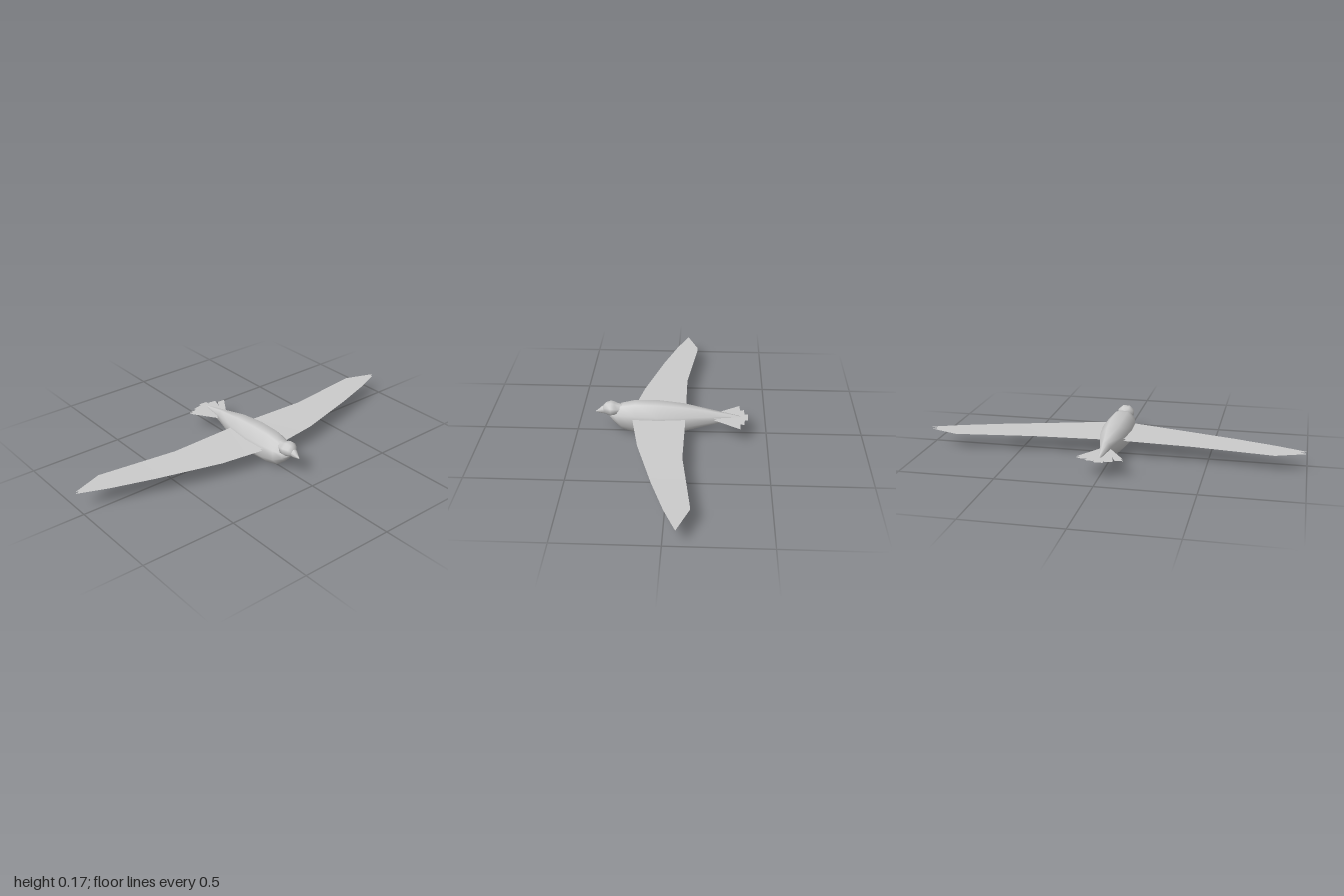
import * as THREE from 'three';

const solid = new THREE.MeshStandardMaterial({ color: 0xcccccc });
const thin = new THREE.MeshStandardMaterial({ color: 0xcccccc, side: THREE.DoubleSide });
const SIDES = 8;

function build(name, positions, index, material) {
  const g = new THREE.BufferGeometry();
  g.setAttribute('position', new THREE.Float32BufferAttribute(positions, 3));
  g.setIndex(index);
  g.computeVertexNormals();
  const mesh = new THREE.Mesh(g, material);
  mesh.name = name;
  return mesh;
}

// Smooth eight-sided loft; stations are [z, bottom y, top y, half width] from back to front
function loft(name, stations) {
  const pos = [], index = [];
  const k = 1 / Math.cos(Math.PI / SIDES);
  stations.forEach(([z, y0, y1, w], s) => {
    for (let i = 0; i < SIDES; i++) {
      const a = ((i + 0.5) / SIDES) * Math.PI * 2;
      pos.push(Math.cos(a) * w * k, (y0 + y1) / 2 + Math.sin(a) * k * (y1 - y0) / 2, z);
      if (s === 0) continue;
      const j = (i + 1) % SIDES, p = (s - 1) * SIDES, q = s * SIDES;
      index.push(p + i, p + j, q + j, p + i, q + j, q + i);
    }
  });
  return build(name, pos, index, solid);
}

// Open surface between two edges; rows are [lead x, lead z, trail x, trail z, y]
function sheet(name, rows, side, lift) {
  const pos = [], index = [];
  rows.forEach(([lx, lz, tx, tz, y], r) => {
    pos.push(side * lx, y + lift, lz, side * tx, y + lift, tz);
    if (r === 0) return;
    const p = 2 * r - 2;
    if (side > 0) index.push(p, p + 2, p + 1, p + 1, p + 2, p + 3);
    else index.push(p, p + 1, p + 2, p + 1, p + 3, p + 2);
  });
  return build(name, pos, index, thin);
}

export function createModel() {
  const bird = new THREE.Group();
  bird.name = 'bird';

  bird.add(loft('body', [
    [-0.366, 0.096, 0.098, 0.001],
    [-0.35, 0.088, 0.104, 0.008],
    [-0.22, 0.055, 0.13, 0.027],
    [-0.065, 0.02, 0.158, 0.064],
    [0.07, 0.003, 0.17, 0.078],
    [0.19, 0.009, 0.17, 0.074],
    [0.265, 0.026, 0.155, 0.058],
    [0.305, 0.063, 0.125, 0.035],
    [0.335, 0.096, 0.1, 0.002],
  ]));

  bird.add(loft('head', [
    [0.24, 0.115, 0.155, 0.02],
    [0.285, 0.105, 0.157, 0.034],
    [0.3, 0.1, 0.165, 0.042],
    [0.32, 0.098, 0.17, 0.043],
    [0.345, 0.104, 0.163, 0.03],
    [0.36, 0.112, 0.147, 0.017],
    [0.362, 0.128, 0.129, 0.001],
  ]));

  bird.add(loft('beak', [
    [0.35, 0.106, 0.15, 0.02],
    [0.365, 0.106, 0.144, 0.017],
    [0.38, 0.108, 0.131, 0.01],
    [0.4, 0.111, 0.115, 0.001],
  ]));

  // Wings: upper and lower skins, sloping near the body and flat further out
  const wing = [
    [0.05, 0.205, 0.05, -0.073, 0.096],
    [0.3, 0.16, 0.42, -0.07, 0.088],
    [0.63, 0.07, 0.63, -0.095, 0.088],
    [0.85, 0, 0.84, -0.12, 0.088],
    [1, -0.06, 1, -0.06, 0.088],
  ];
  for (const side of [1, -1]) {
    const group = new THREE.Group();
    group.name = side > 0 ? 'leftWing' : 'rightWing';
    group.add(sheet('upperWingSkin', wing, side, 0.011));
    group.add(sheet('lowerWingSkin', wing, side, 0));
    bird.add(group);
  }

  // Tail feathers: [name, inner tip x, outer tip x, inner tip z, outer tip z, base x]
  const tail = new THREE.Group();
  tail.name = 'tail';
  const feather = (name, x0, x1, z0, z1, base, side) => {
    const rows = [
      [base - 0.007, -0.21, base + 0.007, -0.21, 0.09],
      [x0, z0, x1, z1, 0.09],
    ];
    for (const lift of [0, 0.009]) tail.add(sheet(name, rows, side, lift));
  };
  feather('middleTailFeather', -0.025, 0.025, -0.4, -0.4, 0, 1);
  for (const side of [1, -1]) {
    feather('innerTailFeather', 0.025, 0.072, -0.384, -0.38, 0.008, side);
    feather('outerTailFeather', 0.075, 0.118, -0.36, -0.358, 0.014, side);
  }
  bird.add(tail);
  return bird;
}
